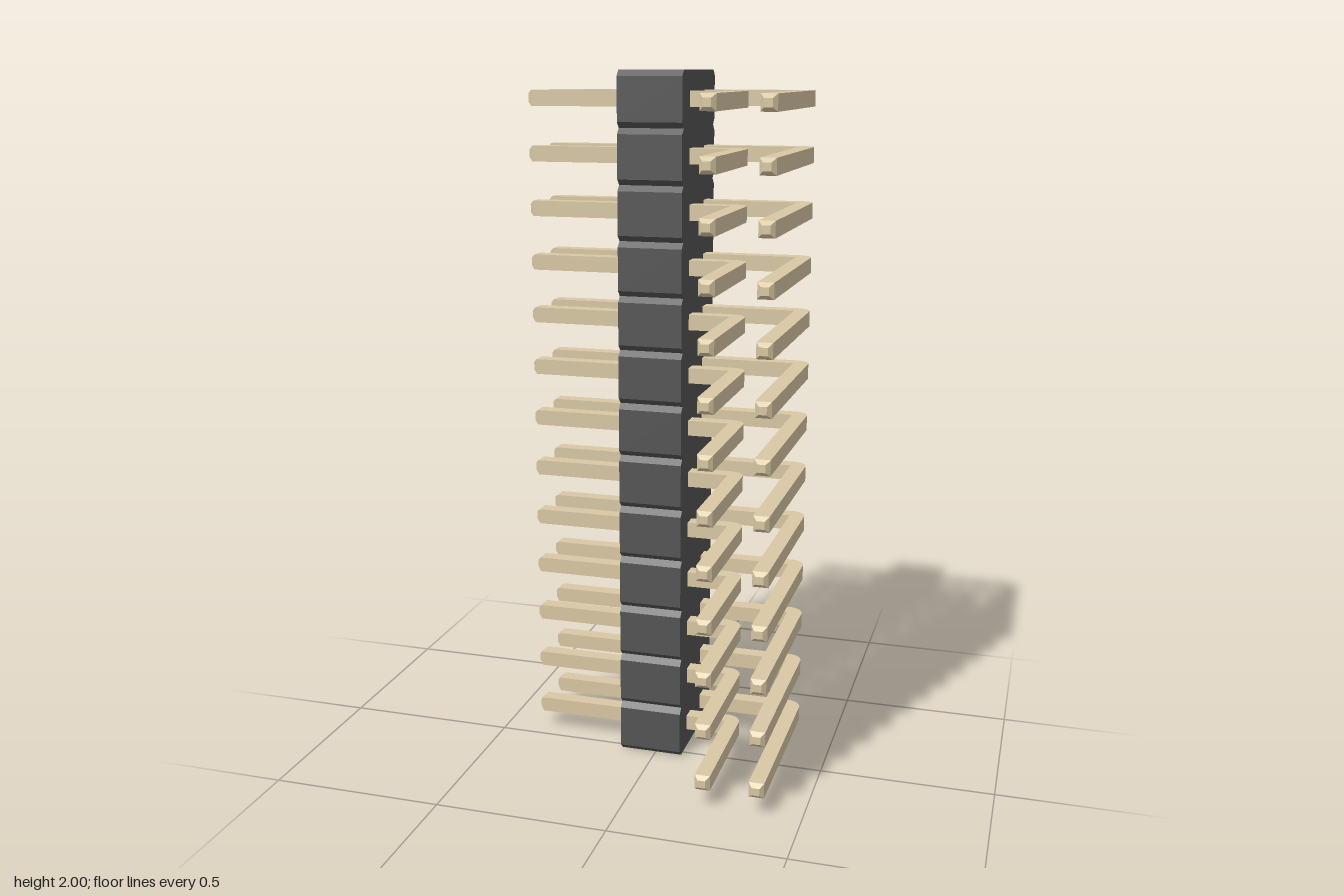
import * as THREE from 'three';
import { mergeGeometries, toCreasedNormals } from 'three/addons/utils/BufferGeometryUtils.js';

const COUNT = 13, PITCH = 2 / COUNT;
const HALF = 0.022, TIP = 0.012;          // pin half-width, tip length
const LEFT = -0.395, FRONT = 0.317;       // pin end positions
const BACK = -0.317, BODY_FRONT = 0.035, CHAMFER = 0.016;

// Tapered square tip pointing up, base at the origin
function tipGeometry() {
  const r = HALF * Math.SQRT2;
  return new THREE.CylinderGeometry(r * 0.5, r, TIP, 4)
    .rotateY(Math.PI / 4).translate(0, TIP / 2, 0);
}

// Right-angle square pin: runs along x at z = row, then turns forward at x = bend
function pinGeometry(row, bend) {
  const x0 = LEFT + TIP, z1 = FRONT - TIP, R = 2 * HALF;
  const outer = bend + HALF, back = row - HALF;
  const s = new THREE.Shape();            // drawn in (x, -z)
  s.moveTo(x0, -(row + HALF));
  s.lineTo(bend - HALF, -(row + HALF));
  s.lineTo(bend - HALF, -z1);
  s.lineTo(outer, -z1);
  s.lineTo(outer, -(back + R));
  s.absarc(outer - R, -(back + R), R, 0, Math.PI / 2, false);
  s.lineTo(x0, -back);
  s.closePath();
  const bar = new THREE.ExtrudeGeometry(s, { depth: 2 * HALF, bevelEnabled: false, curveSegments: 8 })
    .translate(0, 0, -HALF).rotateX(-Math.PI / 2);
  const leftTip = tipGeometry().rotateZ(Math.PI / 2).translate(x0, 0, row);
  const frontTip = tipGeometry().rotateX(Math.PI / 2).translate(bend, 0, z1);
  const parts = [bar, leftTip.toNonIndexed(), frontTip.toNonIndexed()];
  return toCreasedNormals(mergeGeometries(parts), 0.5);
}

// Housing: side outline with chamfered cells, extruded across x
function housingGeometry() {
  const front = [], back = [];
  for (let i = 0; i < COUNT; i++) {
    const y0 = i * PITCH, y1 = y0 + PITCH;
    const edge = (z, d) => [
      [z - d * CHAMFER, y0], [z, y0 + CHAMFER], [z, y1 - CHAMFER], [z - d * CHAMFER, y1],
    ].slice(i ? 1 : 0);
    front.push(...edge(BODY_FRONT, 1));
    back.push(...edge(BACK, -1));
  }
  const outline = [...front, ...back.reverse()].map(([z, y]) => new THREE.Vector2(z, y));
  return new THREE.ExtrudeGeometry(new THREE.Shape(outline), { depth: 0.184, bevelEnabled: false })
    .rotateY(-Math.PI / 2).translate(0.079, 0, 0);
}

export function createModel() {
  const model = new THREE.Group();
  model.name = 'pinHeader';
  const plastic = new THREE.MeshStandardMaterial({ color: 0x555555 });
  const metal = new THREE.MeshStandardMaterial({ color: 0xd9c8a4 });

  const housing = new THREE.Mesh(housingGeometry(), plastic);
  housing.name = 'housing';
  model.add(housing);

  // Two rows of pins, the back row bending further out
  const rows = [
    { name: 'backPin', geometry: pinGeometry(-0.219, 0.373) },
    { name: 'frontPin', geometry: pinGeometry(-0.065, 0.219) },
  ];
  for (const { name, geometry } of rows) {
    for (let i = 0; i < COUNT; i++) {
      const pin = new THREE.Mesh(geometry, metal);
      pin.name = name + (i + 1);
      pin.position.y = (i + 0.5) * PITCH;
      model.add(pin);
    }
  }
  return model;
}
